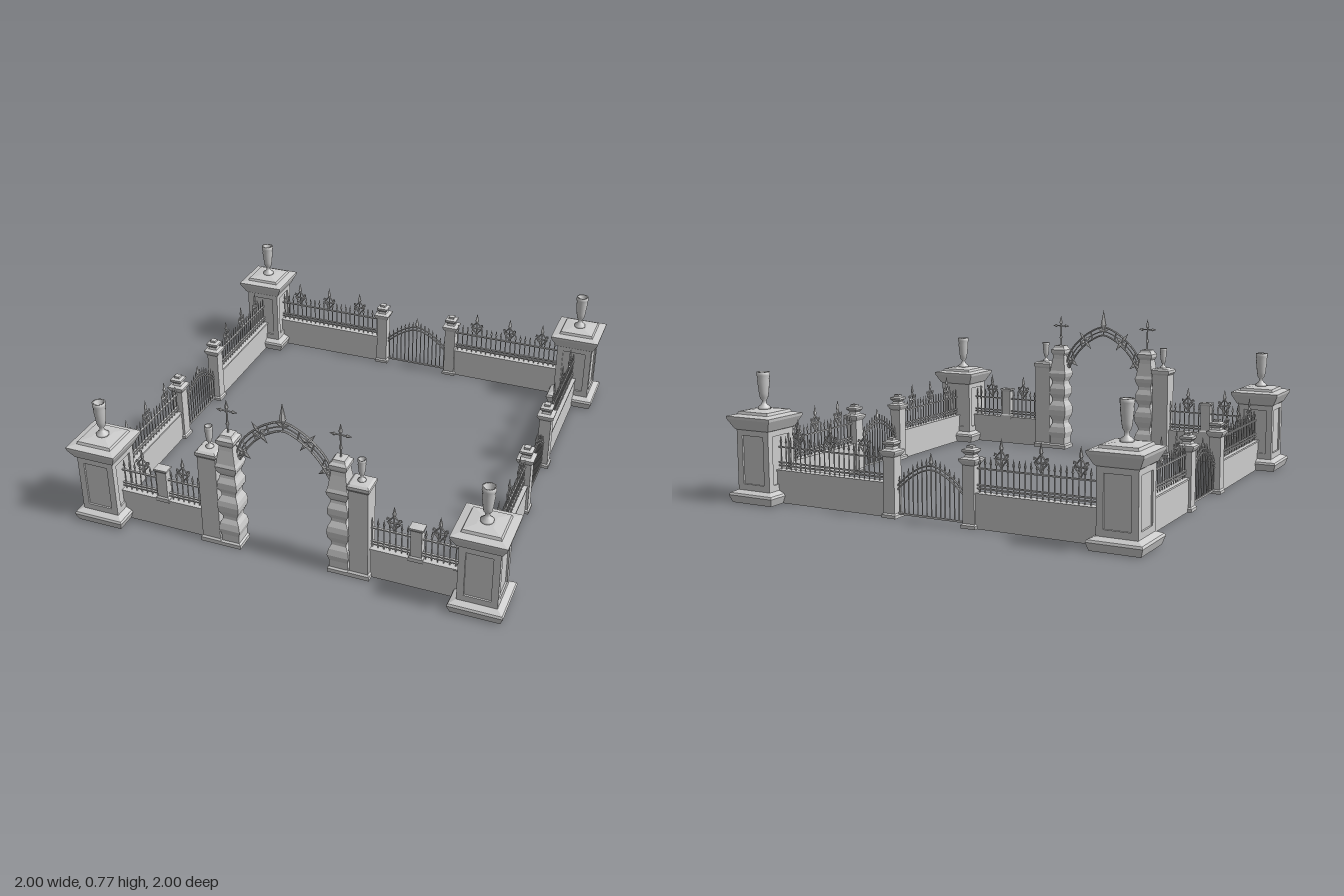
import * as THREE from 'three';
import { mergeGeometries } from 'three/addons/utils/BufferGeometryUtils.js';

const stone = new THREE.MeshStandardMaterial({ color: 0xcccccc, flatShading: true });
const smooth = new THREE.MeshStandardMaterial({ color: 0xcccccc, side: THREE.DoubleSide });
const V = (x, y, z = 0) => new THREE.Vector3(x, y, z);

function part(name, geos, material = stone) {
  const list = [].concat(geos).map(g => (g.index ? g.toNonIndexed() : g));
  const mesh = new THREE.Mesh(mergeGeometries(list), material);
  mesh.name = name;
  return mesh;
}
function group(name, ...children) {
  const g = new THREE.Group();
  g.name = name;
  if (children.length) g.add(...children);
  return g;
}
const at = (obj, x, y = 0, z = 0) => { obj.position.set(x, y, z); return obj; };

// Profiles are [half width, height] pairs
const square = profile => new THREE.LatheGeometry(
  profile.map(([r, y]) => new THREE.Vector2(r * Math.SQRT2, y)), 4).rotateY(Math.PI / 4);
const turned = (profile, n = 16) => new THREE.LatheGeometry(
  profile.map(([r, y]) => new THREE.Vector2(r, y)), n);
const box = (w, h, d, x, y, z = 0) => new THREE.BoxGeometry(w, h, d).translate(x, y, z);
const bar = (x, y0, y1, r = 0.0028) =>
  new THREE.CylinderGeometry(r, r, y1 - y0, 6).translate(x, (y0 + y1) / 2, 0);
const tube = (pts, r = 0.003, n = 20) =>
  new THREE.TubeGeometry(new THREE.CatmullRomCurve3(pts), n, r, 6);
// Double-ended metal point, optionally leaning by an angle in the fence plane
const spike = (x, y, len, r, lean = 0) => turned([[0, 0], [r, len * 0.3], [0, len]], 6)
  .scale(1, 1, 0.6).rotateZ(lean).translate(x, y, 0);

function urn(scale) {
  const m = part('urn', turned([[0, 0], [0.028, 0], [0.028, 0.012], [0.012, 0.025], [0.009, 0.04], [0.018, 0.052],
    [0.022, 0.075], [0.028, 0.13], [0.026, 0.14], [0.03, 0.155], [0.03, 0.17], [0.022, 0.17], [0.015, 0.13], [0, 0.12]]), smooth);
  m.scale.setScalar(scale);
  return m;
}

function cornerPillar() {
  const body = square([[0, 0], [0.108, 0], [0.12, 0.035], [0.115, 0.045], [0.092, 0.055], [0.08, 0.06],
    [0.08, 0.325], [0.095, 0.335], [0.1, 0.345], [0.118, 0.38], [0.12, 0.393],
    [0.085, 0.4], [0.08, 0.412], [0.035, 0.418], [0, 0.418]]);
  // Raised border around the sunken panel on each face
  const s = new THREE.Shape([[-0.088, 0.05], [0.088, 0.05], [0.088, 0.335], [-0.088, 0.335]].map(p => new THREE.Vector2(...p)));
  s.holes.push(new THREE.Path([[-0.058, 0.085], [-0.058, 0.305], [0.058, 0.305], [0.058, 0.085]].map(p => new THREE.Vector2(...p))));
  const frames = [0, 1, 2, 3].map(i => new THREE.ExtrudeGeometry(s, { depth: 0.01, bevelEnabled: false })
    .translate(0, 0, 0.078).rotateY(i * Math.PI / 2));
  return group('cornerPillar', part('pillarBody', body), part('panelFrames', frames), at(urn(1), 0, 0.415));
}

// Wrought finial: open diamond, curled leaves and a tall point
function finial(x) {
  const g = [bar(x, 0.25, 0.34, 0.003), spike(x, 0.325, 0.06, 0.01)];
  for (const s of [-1, 1]) {
    g.push(tube([V(x, 0.262), V(x + s * 0.012, 0.28), V(x + s * 0.028, 0.3), V(x + s * 0.012, 0.32), V(x, 0.335)], 0.0035, 10));
    g.push(tube([V(x, 0.3), V(x + s * 0.014, 0.297), V(x + s * 0.02, 0.315), V(x + s * 0.03, 0.322), V(x + s * 0.032, 0.31)], 0.003, 10));
    g.push(spike(x, 0.3, 0.036, 0.006, -s * Math.PI / 2));
  }
  return g;
}

function fence(a, b, finials) {
  const len = b - a, mid = (a + b) / 2, n = Math.round(len / 0.026);
  const bars = [];
  for (let i = 0; i < n; i++) {
    const x = a + (i + 0.5) * len / n;
    bars.push(bar(x, 0.145, 0.272), spike(x, 0.262, 0.043, 0.006));
  }
  return group('fence',
    part('lowWall', [box(len, 0.147, 0.034, mid, 0.0735), box(len, 0.008, 0.042, mid, 0.147)]),
    part('rails', [0.168, 0.182, 0.252].map(y => box(len, 0.006, 0.01, mid, y))),
    part('bars', bars),
    part('finials', finials.flatMap(finial)));
}

function gatePost() {
  return part('gatePost', square([[0, 0], [0.035, 0], [0.035, 0.014], [0.028, 0.02], [0.028, 0.265], [0.033, 0.272],
    [0.04, 0.285], [0.04, 0.292], [0.022, 0.298], [0.018, 0.308], [0.029, 0.32], [0.029, 0.33], [0.014, 0.335], [0.014, 0.345], [0, 0.345]]));
}

function gate() {
  const w = 0.168, top = x => 0.14 + 0.1 * (1 - Math.pow(Math.abs(x) / w, 1.7));
  const bars = [], rails = [box(2 * w, 0.008, 0.008, 0, 0.018)];
  for (let i = -7; i <= 7; i++) {
    const x = i * 0.0225;
    bars.push(bar(x, 0.015, top(x) + 0.012), spike(x, top(x), 0.035, 0.005));
  }
  for (const dy of [-0.018, 0]) {
    const pts = [];
    for (let i = -8; i <= 8; i++) pts.push(V(i * w / 8, top(i * w / 8) + dy));
    rails.push(tube(pts, 0.0038, 32));
  }
  return group('gate', part('gateBars', bars), part('gateRails', rails), part('gatePoint', spike(0, 0.235, 0.062, 0.012)));
}

// Half of a plain side: fence run and gate post; the other half is turned round
function gatedSide() {
  const side = group('gatedSide', gate());
  for (const turn of [0, Math.PI]) {
    const half = group('fenceHalf', fence(0.22, 0.8, [0.335, 0.515, 0.69]), at(gatePost(), 0.195));
    half.rotation.y = turn;
    side.add(half);
  }
  return side;
}

function archPillar() {
  // Wavy square pillar with alternating swells and waists
  const body = square([[0, 0], [0.05, 0], [0.05, 0.018], [0.042, 0.025], [0.042, 0.06], [0.05, 0.09], [0.044, 0.12],
    [0.034, 0.14], [0.034, 0.155], [0.047, 0.185], [0.05, 0.215], [0.046, 0.24], [0.034, 0.265], [0.034, 0.28],
    [0.046, 0.305], [0.046, 0.335], [0.036, 0.36], [0.034, 0.375], [0.046, 0.4], [0.05, 0.42], [0.044, 0.435],
    [0.034, 0.5], [0.032, 0.52], [0.041, 0.535], [0.041, 0.55], [0.03, 0.56], [0.026, 0.572], [0, 0.575]]);
  const cross = [bar(0, 0.57, 0.7, 0.004), spike(0, 0.68, 0.055, 0.01), spike(0, 0.6, 0.05, 0.009)];
  for (const s of [-1, 1]) cross.push(bar(0, 0, 0.04, 0.0035).rotateZ(-s * Math.PI / 2).translate(0, 0.68, 0),
    spike(s * 0.018, 0.68, 0.032, 0.009, -s * Math.PI / 2));
  return group('archPillar', part('wavyBody', body), part('cross', cross));
}

function arch() {
  const both = pts => [...pts.map(([x, y]) => V(-x, y)), V(0, pts.peak), ...pts.map(([x, y]) => V(x, y)).reverse()];
  const outer = Object.assign([[0.222, 0.475], [0.19, 0.55], [0.14, 0.607], [0.075, 0.655]], { peak: 0.682 });
  const inner = Object.assign([[0.205, 0.45], [0.172, 0.51], [0.125, 0.567], [0.065, 0.613]], { peak: 0.638 });
  const middle = Object.assign(outer.map(([x, y], i) => [(x + inner[i][0]) / 2, (y + inner[i][1]) / 2]), { peak: 0.658 });
  const bands = [tube(both(outer), 0.005, 48), tube(both(inner), 0.005, 48), tube(both(middle), 0.003, 48)];
  const stars = [];
  for (const s of [-1, 1]) {
    outer.forEach(([x, y], i) => bands.push(tube([V(s * x, y), V(s * inner[i][0], inner[i][1])], 0.004, 2)));
    // Four-pointed stars straddling the bands
    for (const [x, y, size, lean] of [[0.108, 0.605, 0.06, 0.65], [0.188, 0.49, 0.045, 0.9]])
      for (let k = 0; k < 4; k++) stars.push(spike(s * x, y, k % 2 ? size * 0.75 : size, 0.011, -s * lean + k * Math.PI / 2));
  }
  for (const s of [-1, 1]) stars.push(spike(0, 0.66, 0.045, 0.009, s * 1.1));
  stars.push(spike(0, 0.66, 0.115, 0.017), bar(0, 0.635, 0.7, 0.004));
  return group('arch', part('archBands', bands), part('archStars', stars));
}

function entranceSide() {
  const side = group('entranceSide', arch());
  for (const turn of [0, Math.PI]) {
    const innerPost = part('entrancePost', square([[0, 0], [0.05, 0], [0.05, 0.02], [0.043, 0.028], [0.043, 0.445],
      [0.05, 0.455], [0.05, 0.47], [0.04, 0.478], [0, 0.482]]));
    const wallPost = part('wallPost', square([[0, 0.14], [0.032, 0.14], [0.032, 0.158], [0.025, 0.165], [0.025, 0.295],
      [0.032, 0.302], [0.032, 0.31], [0, 0.312]]).scale(1, 1, 0.75));
    const half = group('entranceHalf', fence(0.38, 0.8, [0.49, 0.69]), at(archPillar(), 0.255),
      at(innerPost, 0.347), at(urn(0.63), 0.347, 0.478), at(wallPost, 0.592));
    half.rotation.y = turn;
    side.add(half);
  }
  return side;
}

export function createModel() {
  const model = group('walledEnclosure');
  for (const x of [-0.88, 0.88]) for (const z of [-0.88, 0.88]) model.add(at(cornerPillar(), x, 0, z));
  model.add(at(entranceSide(), 0, 0, 0.88), at(gatedSide(), 0, 0, -0.885));
  for (const x of [-0.88, 0.88]) {
    const side = at(gatedSide(), x);
    side.rotation.y = Math.PI / 2;
    model.add(side);
  }
  return model;
}
